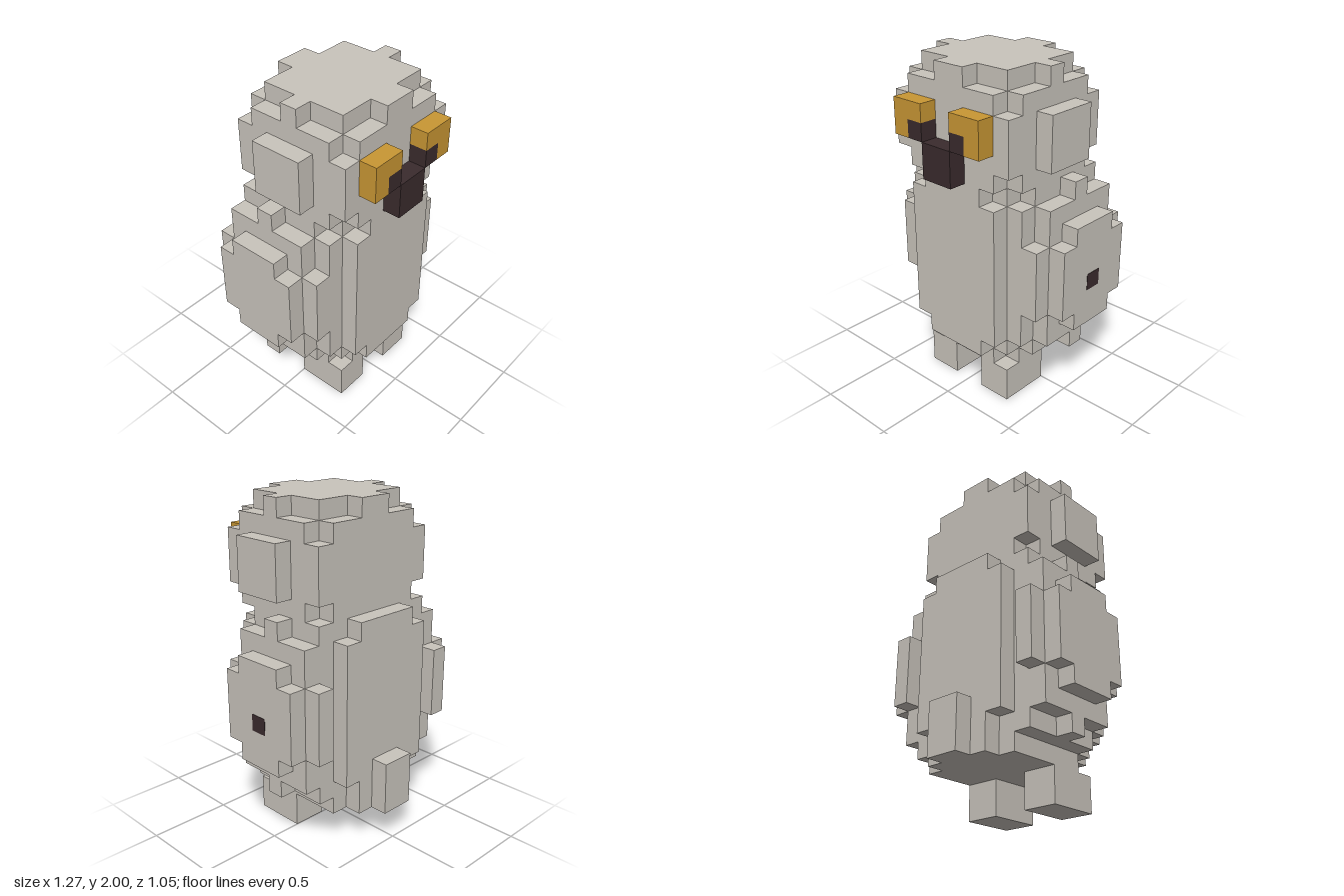
import * as THREE from 'three';

const U = 2 / 19; // size of one block

export function createModel() {
  const mat = (name, color) => {
    const m = new THREE.MeshStandardMaterial({ color });
    m.name = name;
    return m;
  };
  const feather = mat('pale grey feathers', 0xc9c4bc);
  const gold = mat('gold', 0xc99734);
  const dark = mat('dark brown', 0x3a2b2d);

  const owl = new THREE.Group();
  owl.name = 'owl';
  const part = (name) => {
    const g = new THREE.Group();
    g.name = name;
    owl.add(g);
    return g;
  };
  // Box given by its limits in block units
  const block = (parent, name, m, x0, x1, y0, y1, z0, z1) => {
    const geo = new THREE.BoxGeometry((x1 - x0) * U, (y1 - y0) * U, (z1 - z0) * U);
    const mesh = new THREE.Mesh(geo, m);
    mesh.position.set((x0 + x1) / 2 * U, (y0 + y1) / 2 * U, (z0 + z1) / 2 * U);
    mesh.name = name;
    parent.add(mesh);
  };
  // Rows of [half width, y0, y1, z0, z1], centred on x
  const stack = (parent, name, rows) =>
    rows.forEach(([w, ...r]) => block(parent, name, feather, -w, w, ...r));

  // Stepped body
  const body = part('body');
  stack(body, 'bodyBlock', [
    [2, 3, 13, -4, 4],
    [3, 4, 12, -4, 4],
    [3, 3, 13, -3, 3],
    [4, 4, 12, -3, 3],
    [4, 3, 13, -3, 2],
    [5, 4, 12, -3, 2],
    [5, 3, 13, -1, 0],
  ]);
  stack(body, 'underside', [[2, 2, 3, -4, 3], [3, 2, 3, -3, 2]]);

  // Stepped head
  stack(part('head'), 'headBlock', [
    [4, 14, 17, -3, 4],
    [3, 13, 18, -3, 4],
    [4, 13, 18, -2, 3],
    [3, 18, 19, -2, 3],
    [4, 18, 19, 0, 1],
    [1, 18, 19, -3, 4],
  ]);

  // Paired parts
  for (const s of [1, -1]) {
    const side = s > 0 ? 'left' : 'right';
    const pair = (g, name, m, a, b, ...r) =>
      block(g, name, m, Math.min(s * a, s * b), Math.max(s * a, s * b), ...r);

    const wing = part(side + 'Wing');
    pair(wing, 'wingRoot', feather, 4, 5, 6, 10, -4, 3);
    pair(wing, 'wingWide', feather, 5, 6, 6, 10, -3, 2);
    pair(wing, 'wingTall', feather, 5, 6, 5, 11, -2, 1);

    pair(part(side + 'Ear'), 'earPatch', feather, 4, 5, 14, 17, -1, 2);
    pair(part(side + 'Foot'), 'foot', feather, 1, 3, 0, 2, 0, 3);

    const eye = part(side + 'Eye');
    pair(eye, 'eyeUpper', gold, 1, 3, 16, 17, 4, 5);
    pair(eye, 'eyeLower', gold, 2, 3, 15, 16, 4, 5);
    pair(eye, 'pupil', dark, 1, 2, 15, 16, 4, 5);
  }

  block(part('beak'), 'beakBlock', dark, -1, 1, 13, 15, 4, 5);
  block(part('tail'), 'tailBlock', feather, -1, 1, 2, 5, -5, -4);
  // Single spot on the left wing
  block(part('wingSpot'), 'spot', dark, 5.98, 6.02, 7.05, 8, -1, 0);

  return owl;
}
